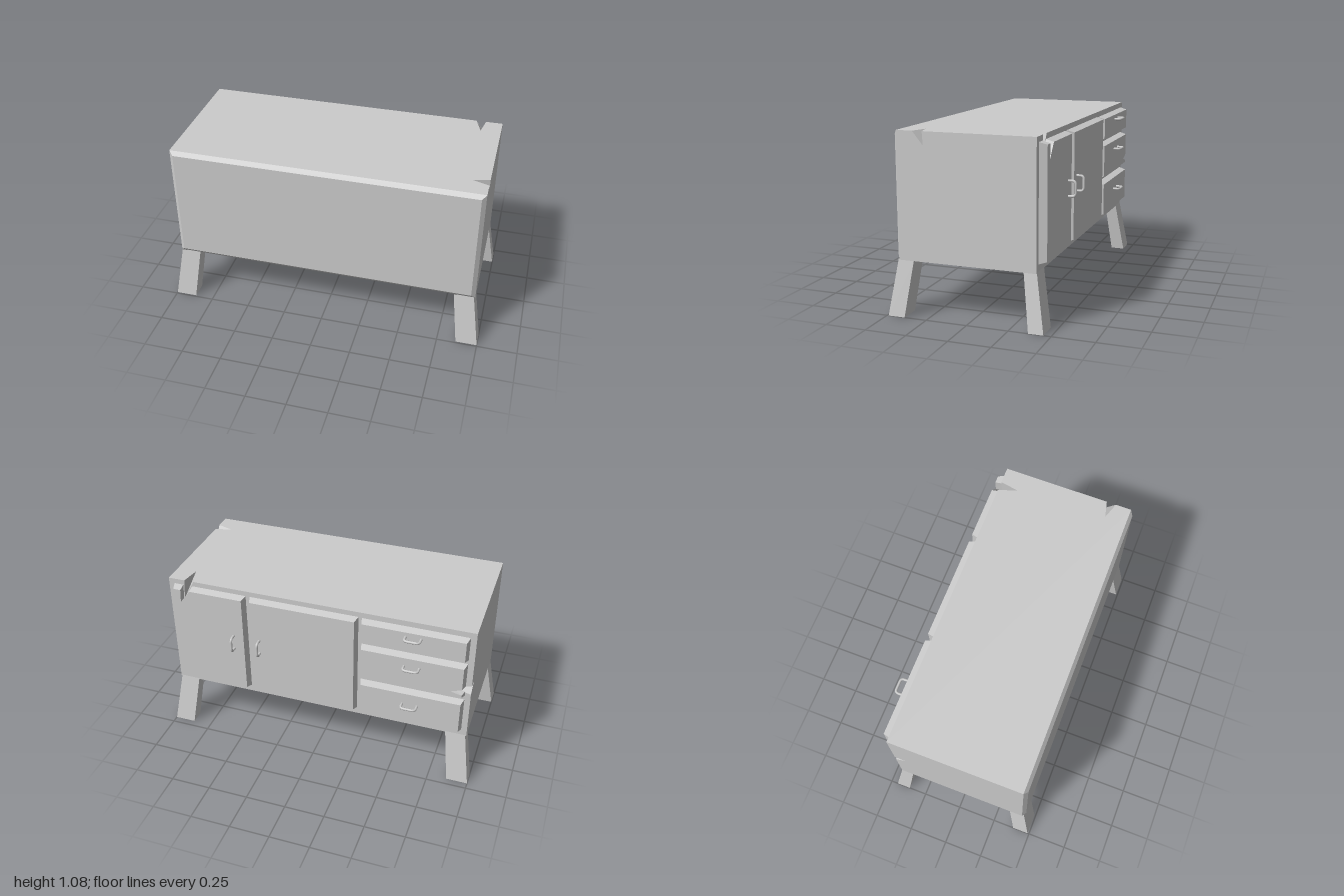
import * as THREE from 'three';

const V = (x, y, z) => new THREE.Vector3(x, y, z);
const material = new THREE.MeshStandardMaterial({ color: 0xcccccc, side: THREE.DoubleSide });

// Triangulates a flat polygon into `out`, facing along `outward`
function face(out, pts, outward) {
  const ax = Math.abs(outward.x), ay = Math.abs(outward.y), az = Math.abs(outward.z);
  const flat = pts.map(p => (pts.length === 3 || (az >= ax && az >= ay)) ? new THREE.Vector2(p.x, p.y)
    : ax >= ay ? new THREE.Vector2(p.y, p.z) : new THREE.Vector2(p.x, p.z));
  const tris = pts.length === 3 ? [[0, 1, 2]] : THREE.ShapeUtils.triangulateShape(flat, []);
  for (const [i, j, k] of tris) {
    const [a, b, c] = [pts[i], pts[j], pts[k]];
    const n = b.clone().sub(a).cross(c.clone().sub(a));
    const order = n.dot(outward) < 0 ? [a, c, b] : [a, b, c];
    order.forEach(p => out.push(p.x, p.y, p.z));
  }
}

function meshOf(out, name) {
  const g = new THREE.BufferGeometry();
  g.setAttribute('position', new THREE.Float32BufferAttribute(out, 3));
  g.computeVertexNormals();
  const m = new THREE.Mesh(g, material);
  m.name = name;
  return m;
}

// Raised panel with bevelled sides; outline is [x, y] pairs, counter-clockwise in xy
function panel(name, outline, z0, z1, inset) {
  const out = [];
  const xs = outline.map(p => p[0]), ys = outline.map(p => p[1]);
  const clampIn = (v, list) => THREE.MathUtils.clamp(v, Math.min(...list) + inset, Math.max(...list) - inset);
  const base = outline.map(([x, y]) => V(x, y, z0));
  const top = outline.map(([x, y]) => V(clampIn(x, xs), clampIn(y, ys), z1));
  face(out, top, V(0, 0, z1 - z0));
  base.forEach((a, i) => {
    const j = (i + 1) % base.length, b = base[j];
    const n = b.clone().sub(a).cross(V(0, 0, 1));
    face(out, [a, b, top[j]], n);
    face(out, [a, top[j], top[i]], n);
  });
  return meshOf(out, name);
}

// Cabinet box with three chipped edges
function cabinet() {
  const X = 0.955, B = 0.33, T = 1.08, F = 0.43, K = -0.4;
  // each chip: two points on the edge, then a tip on either adjoining face
  const side = [V(X, T, 0.33), V(X, T, 0.27), V(0.85, T, 0.295), V(X, 1.0, 0.265)];
  const back = [V(0.79, T, K), V(0.85, T, K), V(0.83, T, -0.28), V(0.86, 0.95, K)];
  const corner = [V(-X, 0.71, K), V(-X, 0.65, K), V(-0.83, 0.68, K), V(-X, 0.7, -0.33)];
  const out = [];
  face(out, [V(-X, T, F), V(X, T, F), side[0], side[2], side[1], V(X, T, K),
    back[1], back[2], back[0], V(-X, T, K)], V(0, 1, 0));
  face(out, [V(X, B, F), V(X, T, F), side[0], side[3], side[1], V(X, T, K), V(X, B, K)], V(1, 0, 0));
  face(out, [V(X, B, K), V(X, T, K), back[1], back[3], back[0], V(-X, T, K),
    corner[0], corner[2], corner[1], V(-X, B, K)], V(0, 0, -1));
  face(out, [V(-X, B, K), corner[1], corner[3], corner[0], V(-X, T, K), V(-X, T, F), V(-X, B, F)], V(-1, 0, 0));
  face(out, [V(-X, B, K), V(X, B, K), V(X, B, F), V(-X, B, F)], V(0, -1, 0));
  for (const [a, b, p, q] of [side, back, corner]) {
    face(out, [a, p, q], b.clone().sub(a));
    face(out, [b, p, q], a.clone().sub(b));
  }
  return meshOf(out, 'cabinetBody');
}

// Splayed leg, open at the foot; each rectangle is [x0, x1, z0, z1]
function leg(name, top, foot, sx) {
  const ring = ([x0, x1, z0, z1], y) => [V(x0 * sx, y, z0), V(x1 * sx, y, z0), V(x1 * sx, y, z1), V(x0 * sx, y, z1)];
  const a = ring(top, 0.335), b = ring(foot, 0), out = [];
  const centre = V((top[0] + top[1]) / 2 * sx, 0.335, (top[2] + top[3]) / 2);
  for (let i = 0; i < 4; i++) {
    const j = (i + 1) % 4;
    const n = a[i].clone().add(a[j]).multiplyScalar(0.5).sub(centre);
    face(out, [a[i], a[j], b[j]], n);
    face(out, [a[i], b[j], b[i]], n);
  }
  return meshOf(out, name);
}

// Rounded U-shaped pull
function handle(name, x, y, vertical) {
  const path = new THREE.CurvePath();
  const w = 0.046, d = -0.045, r = 0.022;
  path.add(new THREE.LineCurve3(V(-w, 0, 0.005), V(-w, 0, d + r)));
  path.add(new THREE.QuadraticBezierCurve3(V(-w, 0, d + r), V(-w, 0, d), V(-w + r, 0, d)));
  path.add(new THREE.LineCurve3(V(-w + r, 0, d), V(w - r, 0, d)));
  path.add(new THREE.QuadraticBezierCurve3(V(w - r, 0, d), V(w, 0, d), V(w, 0, d + r)));
  path.add(new THREE.LineCurve3(V(w, 0, d + r), V(w, 0, 0.005)));
  const m = new THREE.Mesh(new THREE.TubeGeometry(path, 32, 0.008, 8), material);
  m.name = name;
  m.position.set(x, y, -0.445);
  if (vertical) m.rotation.z = Math.PI / 2;
  return m;
}

export function createModel() {
  const model = new THREE.Group();
  model.name = 'sideboard';
  model.add(cabinet());

  const rect = (x0, x1, y0, y1) => [[x0, y0], [x1, y0], [x1, y1], [x0, y1]];
  model.add(panel('frontPanel', rect(-0.955, 0.955, 0.33, 1.08), 0.43, 0.45, 0.025));

  // Doors, the narrow one chipped at its top edge
  const Z0 = -0.4, Z1 = -0.445, IN = 0.013;
  model.add(panel('wideDoor', rect(-0.262, 0.42, 0.375, 1.048), Z0, Z1, IN));
  model.add(panel('narrowDoor', [[0.447, 0.375], [0.92, 0.375], [0.92, 1.048],
    [0.86, 1.048], [0.865, 0.95], [0.8, 1.048], [0.447, 1.048]], Z0, Z1, IN));
  model.add(handle('wideDoorHandle', 0.355, 0.725, true));
  model.add(handle('narrowDoorHandle', 0.525, 0.725, true));

  // Drawers, the middle one chipped at its outer edge
  const drawers = [['topDrawer', 0.89, 1.045, 1.003], ['middleDrawer', 0.635, 0.865, 0.797], ['bottomDrawer', 0.375, 0.605, 0.515]];
  for (const [name, y0, y1, hy] of drawers) {
    const outline = rect(-0.92, -0.282, y0, y1);
    if (name === 'middleDrawer') outline.push([-0.92, 0.705], [-0.84, 0.68], [-0.92, 0.665]);
    model.add(panel(name, outline, Z0, Z1, IN));
    model.add(handle(name + 'Handle', -0.602, hy, false));
  }

  // Legs
  for (const [side, sx] of [['left', 1], ['right', -1]]) {
    model.add(leg(side + 'FrontLeg', [0.825, 0.948, 0.343, 0.44], [0.868, 1.0, 0.387, 0.49], sx));
    model.add(leg(side + 'BackLeg', [0.825, 0.948, -0.4, -0.323], [0.868, 1.0, -0.456, -0.367], sx));
  }
  return model;
}
